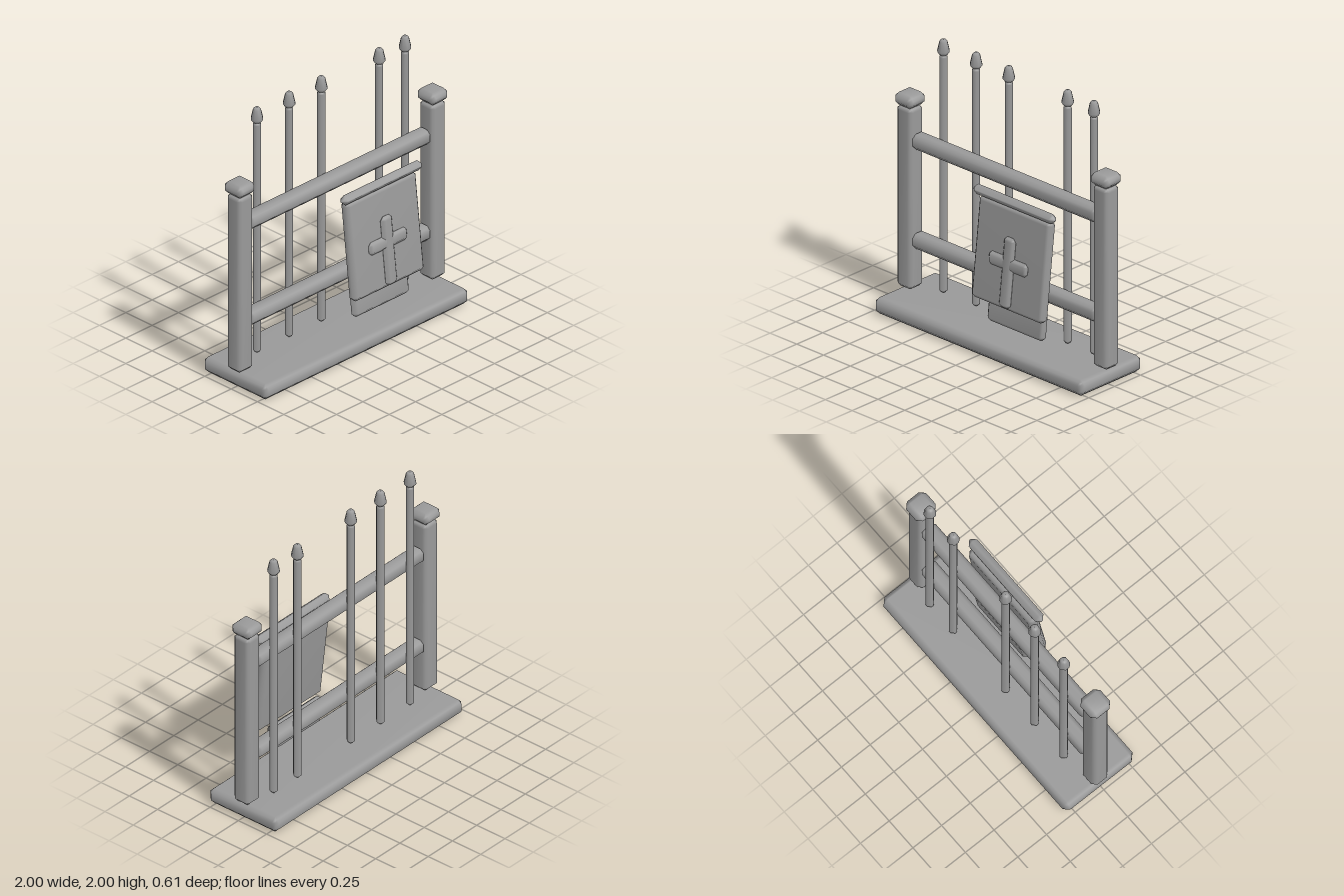
import * as THREE from 'three';
import { mergeVertices } from 'three/addons/utils/BufferGeometryUtils.js';

const stone = new THREE.MeshStandardMaterial({ color: 0x999999 });
stone.name = 'grey';

// Box with flat 45 degree chamfers and smooth normals
function chamferBox(w, h, d, c) {
  let g = new THREE.BoxGeometry(1, 1, 1, 3, 3, 3);
  const p = g.attributes.position;
  const half = [w / 2, h / 2, d / 2];
  for (let i = 0; i < p.count; i++) {
    const v = [p.getX(i), p.getY(i), p.getZ(i)];
    const outer = v.map((a) => Math.abs(a) > 0.4);
    const n = outer.filter(Boolean).length; // 1 face, 2 edge, 3 corner
    const q = v.map((a, k) => Math.sign(a) * (half[k] - c + (outer[k] ? c / n : 0)));
    p.setXYZ(i, ...q);
  }
  g.deleteAttribute('uv');
  g.deleteAttribute('normal');
  g = mergeVertices(g, 1e-5);
  g.computeVertexNormals();
  return g;
}

export function createModel() {
  const model = new THREE.Group();
  model.name = 'fenceWithPanel';

  function add(parent, name, geometry, x, y, z) {
    const mesh = new THREE.Mesh(geometry, stone);
    mesh.name = name;
    mesh.position.set(x, y, z);
    parent.add(mesh);
    return mesh;
  }

  // Base slab
  add(model, 'base', chamferBox(1.95, 0.12, 0.608, 0.036), 0, 0.06, -0.005);

  // Posts with caps
  const postGeo = chamferBox(0.146, 1.345, 0.142, 0.03);
  const capGeo = chamferBox(0.17, 0.095, 0.172, 0.034);
  for (const side of [-1, 1]) {
    add(model, 'post', postGeo, side * 0.915, 0.797, -0.003);
    add(model, 'postCap', capGeo, side * 0.915, 1.513, -0.004);
  }

  // Rails
  const railGeo = chamferBox(1.73, 0.116, 0.12, 0.034);
  for (const y of [0.49, 1.225]) add(model, 'rail', railGeo, 0, y, -0.005);

  // Upright bars with tapered finials
  const barGeo = chamferBox(0.06, 1.765, 0.06, 0.022);
  const finialGeo = new THREE.LatheGeometry(
    [[0, 0], [0.028, 0], [0.045, 0.025], [0.029, 0.095], [0.018, 0.11], [0, 0.11]]
      .map(([r, y]) => new THREE.Vector2(r, y)), 8, Math.PI / 8);
  for (const x of [-0.675, -0.37, -0.065, 0.485, 0.73]) {
    add(model, 'bar', barGeo, x, 1.01, -0.08);
    add(model, 'finial', finialGeo, x, 1.89, -0.08);
  }

  // Leaning panel with a raised cross
  const panel = new THREE.Group();
  panel.name = 'panel';
  panel.position.set(0.243, 0.765, 0.193);
  panel.rotation.x = -0.113;
  model.add(panel);
  add(panel, 'panelBoard', chamferBox(0.673, 0.732, 0.086, 0.03), 0, 0, 0);
  add(panel, 'crossUpright', chamferBox(0.105, 0.505, 0.055, 0.026), 0, -0.09, 0.048);
  add(panel, 'crossArm', chamferBox(0.36, 0.095, 0.05, 0.024), 0, -0.028, 0.046);

  // Top moulding and lower tab
  const moulding = add(model, 'panelMoulding', chamferBox(0.756, 0.07, 0.074, 0.031), 0.243, 1.166, 0.18);
  moulding.rotation.x = -0.113;
  const tab = add(model, 'panelTab', chamferBox(0.53, 0.216, 0.068, 0.028), 0.247, 0.333, 0.157);
  tab.rotation.x = -0.113;

  return model;
}
